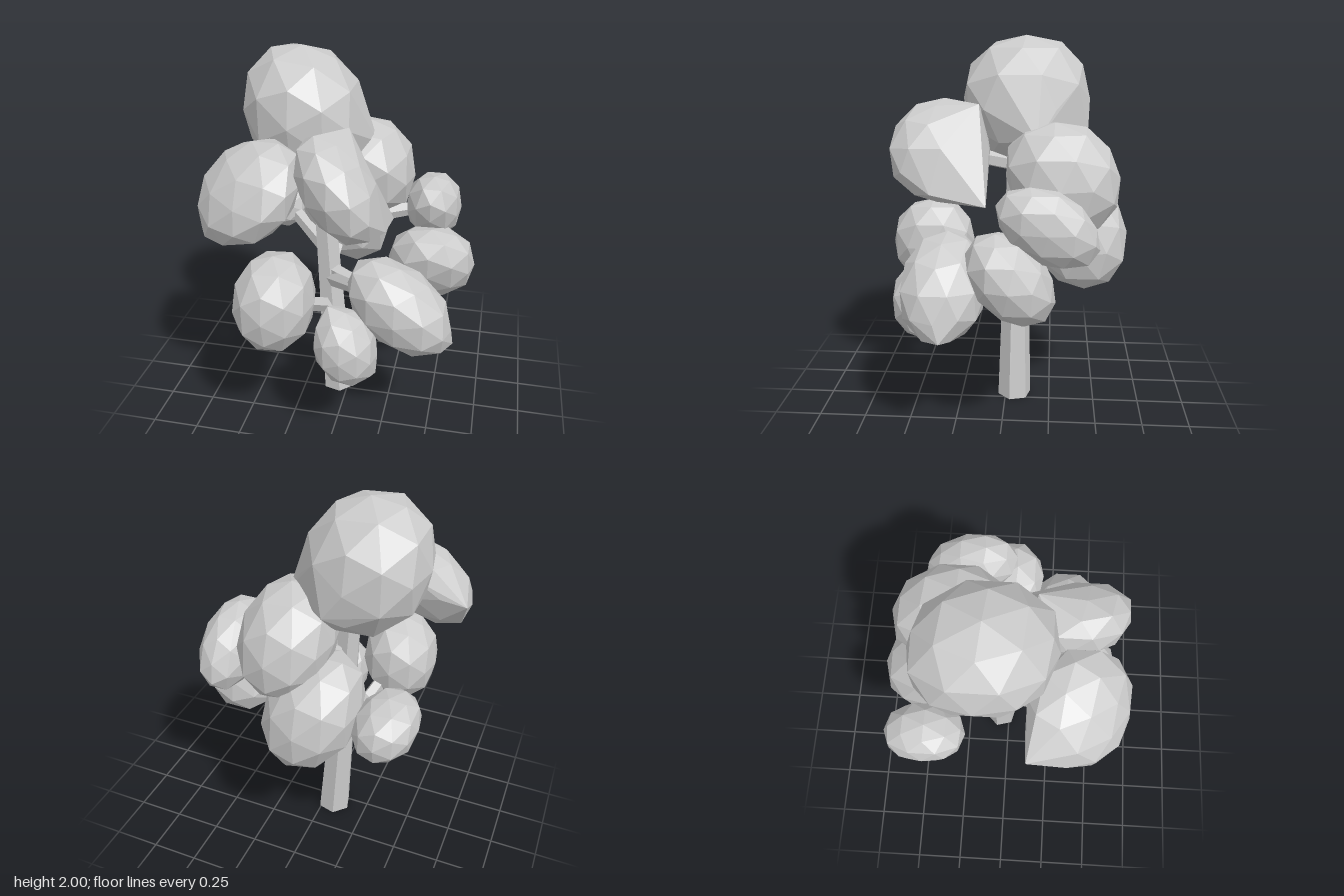
import * as THREE from 'three';
import { ConvexGeometry } from 'three/addons/geometries/ConvexGeometry.js';

const leafMat = new THREE.MeshStandardMaterial({ color: 0xcccccc, flatShading: true });
const V = (a) => new THREE.Vector3(...a);

// Faceted leaf clump: half sizes s, slants [xy, yz, xz] in -1..1,
// wrapped in a convex skin together with optional corner tips
function clump({ c, s, slant = [0, 0, 0], tips = [] }) {
  const [xy, yz, xz] = slant;
  const k = (yz - xy * xz) / Math.sqrt(1 - xy * xy);
  const m = new THREE.Matrix4().set(
    s[0], 0, 0, c[0],
    s[1] * xy, s[1] * Math.sqrt(1 - xy * xy), 0, c[1],
    s[2] * xz, s[2] * k, s[2] * Math.sqrt(1 - xz * xz - k * k), c[2],
    0, 0, 0, 1);
  const pos = new THREE.IcosahedronGeometry(1, 1).attributes.position;
  const points = tips.map(V);
  // Slightly boxy fullness
  const e = 2.25;
  for (let i = 0; i < pos.count; i++) {
    const p = new THREE.Vector3().fromBufferAttribute(pos, i);
    const r = (Math.abs(p.x) ** e + Math.abs(p.y) ** e + Math.abs(p.z) ** e) ** (1 / e);
    points.push(p.divideScalar(r).applyMatrix4(m));
  }
  return new THREE.Mesh(new ConvexGeometry(points), leafMat);
}

// Tapered faceted branch between two points
function limb(a, b, r0, r1) {
  const dir = b.clone().sub(a);
  const mesh = new THREE.Mesh(new THREE.CylinderGeometry(r1, r0, dir.length(), 5), leafMat);
  mesh.position.copy(a).add(b).multiplyScalar(0.5);
  mesh.quaternion.setFromUnitVectors(new THREE.Vector3(0, 1, 0), dir.normalize());
  return mesh;
}

// Clumps; "from" is the height at which the branch leaves the trunk
const clumps = [
  { name: 'crownClump', c: [-0.24, 1.67, -0.1], s: [0.31, 0.33, 0.34], slant: [-0.1, 0, 0.08],
    tips: [[0.13, 1.5, -0.17], [-0.14, 1.53, -0.43]] },
  { name: 'upperFrontRightClump', c: [-0.405, 1.395, 0.35], s: [0.265, 0.235, 0.25], slant: [0.3, -0.25, 0.2],
    tips: [[-0.61, 1.18, 0.45], [-0.68, 1.41, 0.11]], from: 1.4 },
  { name: 'upperFrontClump', c: [0.025, 1.435, 0.33], s: [0.21, 0.245, 0.255], slant: [-0.4, 0, 0.2],
    tips: [[0.26, 1.19, 0.08], [0.04, 1.67, 0.13], [0.26, 1.25, 0.36]], from: 1.33 },
  { name: 'upperBackClump', c: [0.08, 1.31, -0.3], s: [0.24, 0.28, 0.295], slant: [-0.1, 0.15, 0.05], from: 1.1 },
  { name: 'smallLeftClump', c: [0.435, 1.145, -0.23], s: [0.147, 0.195, 0.245], slant: [0, 0.35, 0], from: 1.06 },
  { name: 'lowerLeftClump', c: [0.45, 0.895, -0.055], s: [0.23, 0.22, 0.215], slant: [0, 0.35, 0] },
  { name: 'lowerFrontLeftClump', c: [0.33, 0.8, 0.285], s: [0.27, 0.24, 0.215], slant: [-0.4, 0, 0.1],
    tips: [[0.61, 0.61, 0.28], [0.07, 0.92, 0.22]], from: 0.78 },
  { name: 'lowestFrontClump', c: [0.085, 0.625, 0.435], s: [0.163, 0.2, 0.17], slant: [-0.15, 0, 0],
    tips: [[-0.01, 0.84, 0.42], [0.24, 0.48, 0.43]] },
  { name: 'lowerFrontRightClump', c: [-0.28, 0.84, 0.425], s: [0.205, 0.255, 0.235], slant: [0.05, 0, 0], from: 0.54 },
  { name: 'smallRightClump', c: [-0.465, 1.015, -0.41], s: [0.155, 0.147, 0.21], slant: [-0.1, 0.05, 0], from: 0.9 },
  { name: 'lowerBackClump', c: [-0.08, 0.98, -0.39], s: [0.25, 0.29, 0.265], slant: [-0.22, 0.15, 0], from: 0.8 },
];

export function createModel() {
  const tree = new THREE.Group();
  tree.name = 'tree';

  // Leaning six-sided trunk, sheared so the foot stays flat
  const base = V([-0.06, 0, -0.05]), top = V([-0.16, 1.6, -0.06]);
  const trunkGeo = new THREE.CylinderGeometry(0.05, 0.094, 1.6, 6);
  trunkGeo.rotateY(Math.PI / 12).translate(0, 0.8, 0);
  trunkGeo.applyMatrix4(new THREE.Matrix4().set(
    1, (top.x - base.x) / top.y, 0, base.x,
    0, 1, 0, 0,
    0, (top.z - base.z) / top.y, 1, base.z,
    0, 0, 0, 1));
  const trunk = new THREE.Mesh(trunkGeo, leafMat);
  trunk.name = 'trunk';
  tree.add(trunk);

  for (const item of clumps) {
    const leaves = clump(item);
    leaves.name = item.name;
    tree.add(leaves);

    // Branch from the trunk into the clump
    if (item.from) {
      const start = base.clone().lerp(top, item.from / top.y);
      const branch = limb(start, V(item.c), 0.045, 0.035);
      branch.name = item.name.replace('Clump', 'Branch');
      tree.add(branch);
    }
  }

  // Bare branch ending between the front clumps
  const bare = limb(base.clone().lerp(top, 0.45), V([0.09, 0.86, 0.24]), 0.045, 0.035);
  bare.name = 'bareBranch';
  tree.add(bare);
  return tree;
}
